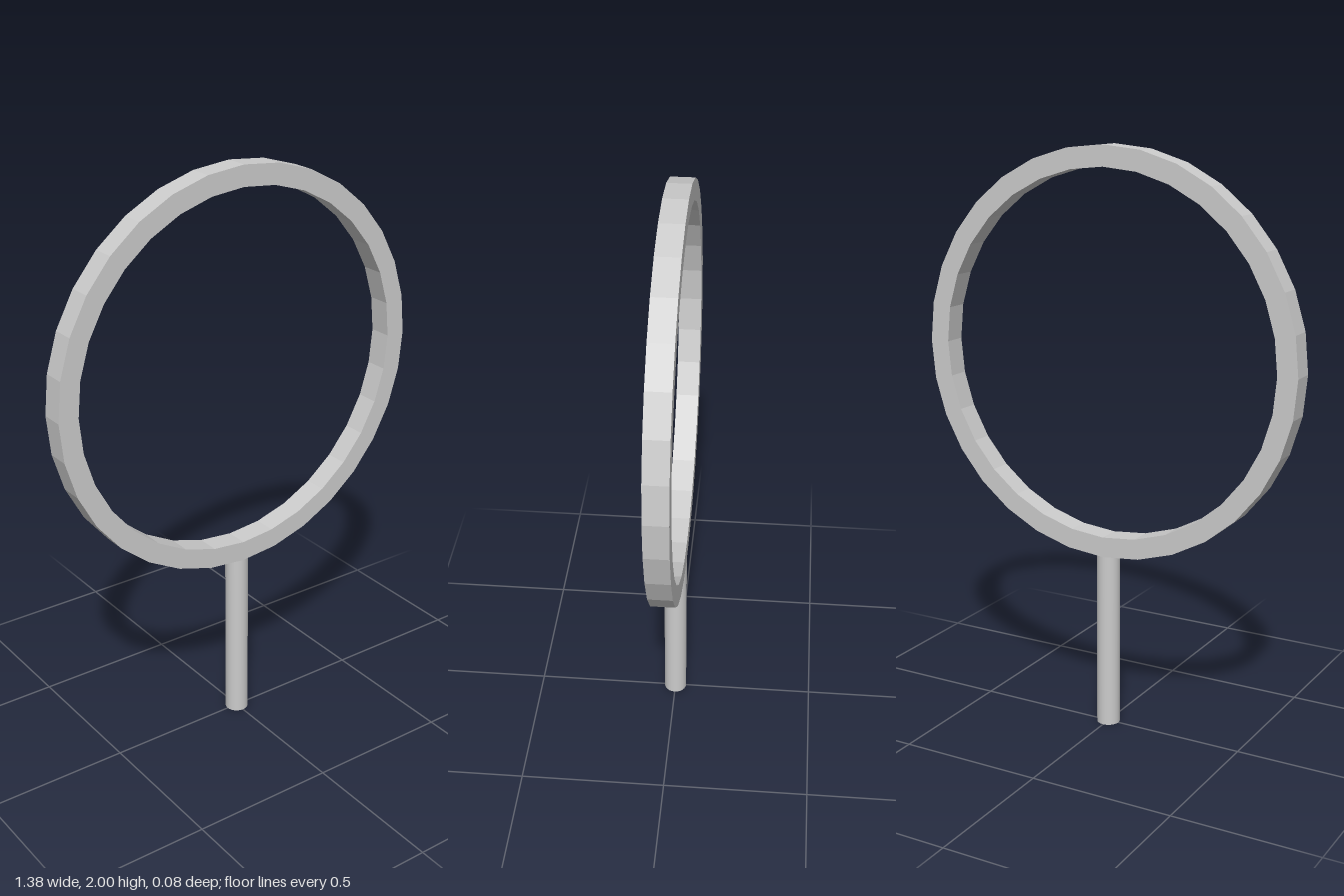
import * as THREE from 'three';

export function createModel() {
  const model = new THREE.Group();
  const outer = 0.69, inner = 0.62, half = 0.04;
  const centreY = 2 - outer;

  // Faceted hoop: a rectangular section turned around the z axis
  const section = [
    [inner, -half], [outer, -half], [outer, half], [inner, half], [inner, -half],
  ].map(([r, h]) => new THREE.Vector2(r, h));
  const hoop = new THREE.Mesh(
    new THREE.LatheGeometry(section, 32).rotateX(Math.PI / 2),
    new THREE.MeshStandardMaterial({ color: 0xcccccc, flatShading: true })
  );
  hoop.name = 'hoop';
  hoop.position.y = centreY;
  model.add(hoop);

  // Smooth round handle, its top end just set into the hoop
  const length = centreY - outer + 0.01;
  const handle = new THREE.Mesh(
    new THREE.CylinderGeometry(half, half, length, 24),
    new THREE.MeshStandardMaterial({ color: 0xcccccc })
  );
  handle.name = 'handle';
  handle.position.y = length / 2;
  model.add(handle);

  return model;
}
